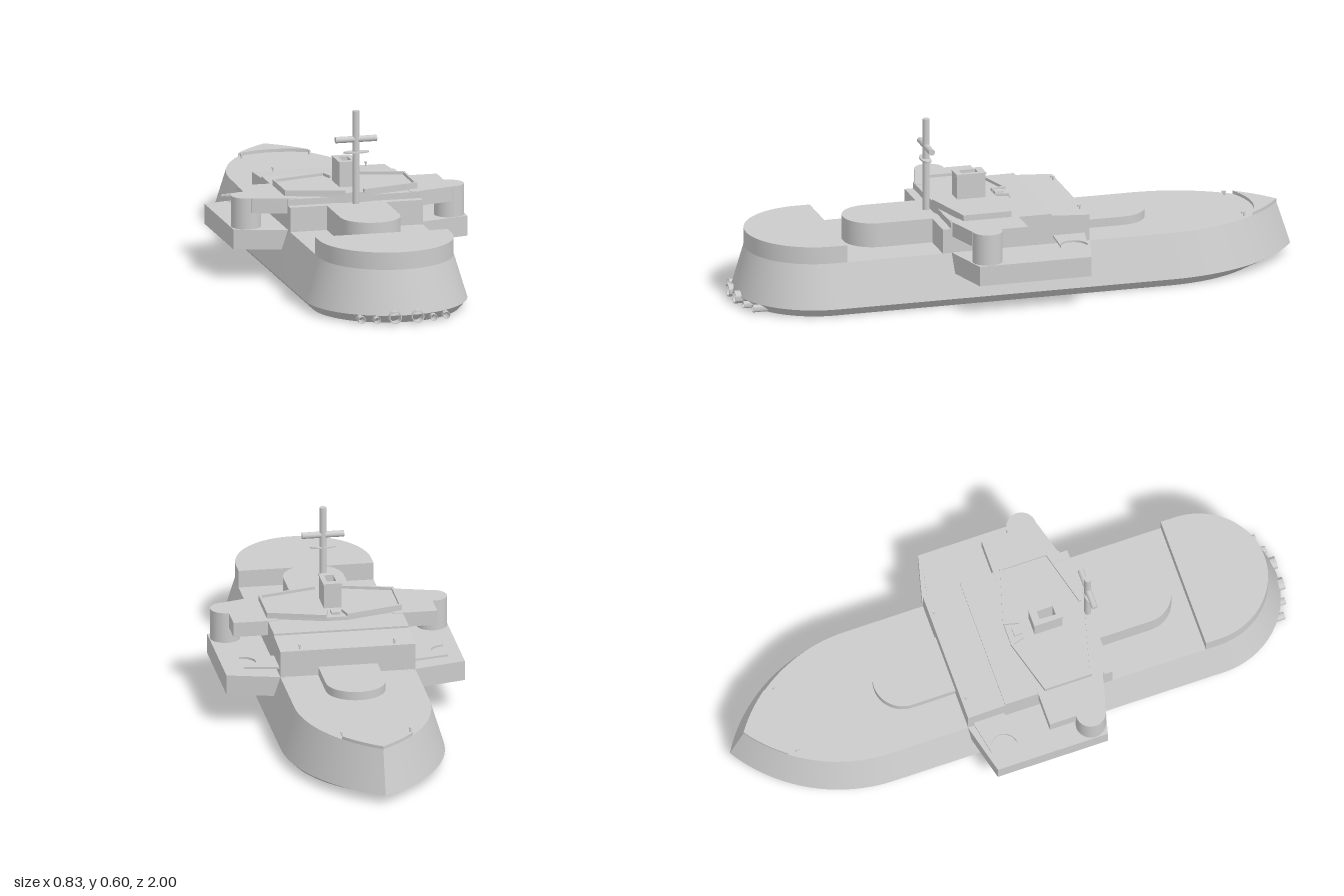
import * as THREE from 'three';
import { toCreasedNormals } from 'three/addons/utils/BufferGeometryUtils.js';

const mat = new THREE.MeshStandardMaterial({ color: 0xcccccc });
const openMat = new THREE.MeshStandardMaterial({ color: 0xcccccc, side: THREE.DoubleSide });

export function createModel() {
  const ship = new THREE.Group();
  ship.name = 'ship';

  const add = (name, geo, x = 0, y = 0, z = 0, m = mat) => {
    const mesh = new THREE.Mesh(geo, m);
    mesh.name = name;
    mesh.position.set(x, y, z);
    ship.add(mesh);
    return mesh;
  };
  const box = (name, w, h, d, x, y, z) => add(name, new THREE.BoxGeometry(w, h, d), x, y, z);

  // Plan shape in [x, z], extruded between two heights
  const slab = (name, pts, y0, y1, hole) => {
    const shape = new THREE.Shape(pts.map(p => new THREE.Vector2(p[0], p[1])));
    if (hole) shape.holes.push(new THREE.Path(hole.map(p => new THREE.Vector2(p[0], p[1]))));
    const geo = new THREE.ExtrudeGeometry(shape, { depth: y1 - y0, bevelEnabled: false });
    geo.rotateX(Math.PI / 2);
    return add(name, toCreasedNormals(geo, 0.5), 0, y1, 0);
  };
  const mirrorX = pts => pts.map(([x, z]) => [-x, z]).reverse();
  const rect = (x, z0, z1) => [[-x, z0], [x, z0], [x, z1], [-x, z1]];

  // Half plan of the hull: pointed bow arc, straight side, round stern
  const halfOutline = (w, bow, stern) => {
    const a = -0.5, b = 0.7, len = a - bow, R = (w * w + len * len) / (2 * w), pts = [];
    const sweep = Math.asin(len / R);
    for (let i = 0; i <= 20; i++) {
      const t = sweep * (1 - i / 20);
      pts.push([i ? w - R + R * Math.cos(t) : 0, a - R * Math.sin(t)]);
    }
    for (let i = 0; i <= 20; i++) {
      const t = i / 20 * Math.PI / 2;
      pts.push([i === 20 ? 0 : w * Math.cos(t), b + (stern - b) * Math.sin(t)]);
    }
    return pts;
  };
  const outline = (...a) => {
    const h = halfOutline(...a);
    return [...h, ...mirrorX(h.slice(1, -1))];
  };

  // Hull lofted through three levels, capped above and below
  const levels = [[0, 0.255, -0.9, 0.96], [0.03, 0.282, -1, 0.988], [0.182, 0.235, -0.95, 0.945]];
  const pos = [], idx = [];
  const rings = levels.map(([y, ...o]) => outline(...o).map(([x, z]) => [x, y, z]));
  const n = rings[0].length;
  rings.forEach(r => r.forEach(p => pos.push(...p)));
  pos.push(0, 0, 0, 0, 0.182, 0);
  for (let i = 0; i < n; i++) {
    const j = (i + 1) % n;
    for (let k = 0; k < 2; k++) {
      const a = k * n + i, b = k * n + j;
      idx.push(a, b + n, b, a, a + n, b + n);
    }
    idx.push(3 * n, i, j, 3 * n + 1, 2 * n + j, 2 * n + i);
  }
  const hull = new THREE.BufferGeometry();
  hull.setAttribute('position', new THREE.Float32BufferAttribute(pos, 3));
  hull.setIndex(idx);
  add('hull', toCreasedNormals(hull, 0.5));

  // Raised stern deck and bow deck
  const deck = halfOutline(0.235, -0.95, 0.945);
  const sternHalf = [[0.235, 0.65], ...deck.filter(p => p[1] >= 0.7)];
  slab('sternDeck', [...sternHalf, ...mirrorX(sternHalf.slice(0, -1))], 0.17, 0.243);
  const bowHalf = deck.filter(p => p[1] < -0.83);
  const bowArc = [];
  for (let i = 0; i <= 12; i++) {
    const u = 1 - i / 6;
    bowArc.push([0.124 * u, -0.86 + 0.03 * u * u]);
  }
  slab('bowDeck', [...bowHalf, ...bowArc, ...mirrorX(bowHalf.slice(1))], 0.175, 0.193);

  // Low deckhouses with one round end
  const deckhouse = (name, zFlat, zEnd, w, top) => {
    const s = Math.sign(zEnd - zFlat), pts = [[w, zFlat]];
    for (let i = 0; i <= 24; i++) {
      const t = i / 24 * Math.PI;
      pts.push([w * Math.cos(t), zEnd - s * w + s * w * Math.sin(t)]);
    }
    pts.push([-w, zFlat]);
    slab(name, pts, 0.175, top);
  };
  deckhouse('sternDeckhouse', 0.25, 0.6, 0.105, 0.268);
  deckhouse('bowDeckhouse', -0.2, -0.475, 0.103, 0.212);

  // Main superstructure from its side profile
  const side = new THREE.Shape([[0.31, 0.175], [0.31, 0.268], [0.28, 0.268], [0.28, 0.29], [-0.08, 0.29],
    [-0.08, 0.283], [-0.215, 0.275], [-0.215, 0.175]].map(p => new THREE.Vector2(-p[0], p[1])));
  const block = new THREE.ExtrudeGeometry(side, { depth: 0.47, bevelEnabled: false });
  block.rotateY(Math.PI / 2);
  add('superstructure', block, -0.235, 0, 0);

  // Bridge roof with a low rim, open at the centre
  slab('bridgeRoof', [[0.04, 0.01], [0.235, 0.065], [0.235, 0.235], [0.04, 0.287],
    [-0.04, 0.287], [-0.235, 0.235], [-0.235, 0.065], [-0.04, 0.01]], 0.24, 0.303);
  const rimPath = [[0.028, 0.058], [0.04, 0.012], [0.231, 0.067], [0.231, 0.233], [0.035, 0.285]];
  for (const s of [1, -1]) {
    for (let i = 0; i < rimPath.length - 1; i++) {
      const [x0, z0] = rimPath[i], [x1, z1] = rimPath[i + 1];
      const wall = box('roofRim', Math.hypot(x1 - x0, z1 - z0) + 0.006, 0.014, 0.008,
        s * (x0 + x1) / 2, 0.306, (z0 + z1) / 2);
      wall.rotation.y = -Math.atan2(z1 - z0, s * (x1 - x0));
    }
  }
  box('roofLocker', 0.03, 0.016, 0.03, 0, 0.305, 0.045);

  // Hollow funnel
  slab('funnel', rect(0.031, 0.098, 0.2), 0.3, 0.39, rect(0.016, 0.122, 0.18));
  slab('funnelLip', rect(0.033, 0.096, 0.202), 0.386, 0.392, rect(0.016, 0.122, 0.18));

  // Mast with cross arm and lookout platform
  add('mast', new THREE.CylinderGeometry(0.012, 0.012, 0.33, 20), 0, 0.43, 0.302);
  add('crossArm', new THREE.CylinderGeometry(0.011, 0.011, 0.146, 20), 0, 0.495, 0.302).rotation.z = Math.PI / 2;
  add('mastPlatform', new THREE.CylinderGeometry(0.045, 0.045, 0.005, 28), 0, 0.45, 0.305).scale.z = 0.4;

  // Parts repeated on both sides
  for (const s of [1, -1]) {
    const both = pts => (s > 0 ? pts : mirrorX(pts));
    slab('sponson', both([[0.2, -0.225], [0.235, -0.216], [0.415, -0.17], [0.415, 0.23],
      [0.235, 0.278], [0.2, 0.286]]), 0.113, 0.183);
    slab('bridgeWing', both([[0.2, 0.04], [0.355, 0.04], [0.355, 0.24], [0.235, 0.275], [0.2, 0.28]]), 0.24, 0.292);
    slab('wingTip', both([[0.34, 0.137], [0.36, 0.137], [0.36, 0.237], [0.34, 0.237]]), 0.24, 0.292);
    add('wingTurret', new THREE.CylinderGeometry(0.052, 0.052, 0.11, 32), s * 0.36, 0.237, 0.187);

    // Thin side platform with a scooped outer edge
    const scoop = [];
    for (let i = 0; i <= 12; i++) {
      const t = i / 12 * Math.PI;
      scoop.push([0.355 - 0.05 * Math.sin(t), -0.125 - 0.048 * Math.cos(t)]);
    }
    slab('sidePlatform', both([[0.22, -0.2], ...scoop, [0.22, -0.085]]), 0.205, 0.212);

    // Small lamp posts
    for (const [x, y, z] of [[0.165, 0.276, -0.2], [0.12, 0.182, -0.8]]) {
      add('lampPost', new THREE.CylinderGeometry(0.003, 0.003, 0.014, 8), s * x, y + 0.005, z);
      box('lamp', 0.006, 0.006, 0.014, s * x, y + 0.012, z + 0.003);
    }

    // Open exhaust pipes under the stern
    for (const [x, r, y, z1] of [[0.04, 0.022, 0.026, 1], [0.1, 0.012, 0.016, 0.985], [0.15, 0.013, 0.016, 0.965]]) {
      const profile = [[r * 0.85, -0.06], [r * 0.85, 0.06], [r, 0.06], [r, -0.06]].map(p => new THREE.Vector2(...p));
      const pipe = new THREE.LatheGeometry(profile, 24).toNonIndexed();
      pipe.rotateX(Math.PI / 2);
      add('exhaustPipe', toCreasedNormals(pipe, 0.6), s * x, y, z1 - 0.06, openMat);
    }
  }
  return ship;
}
